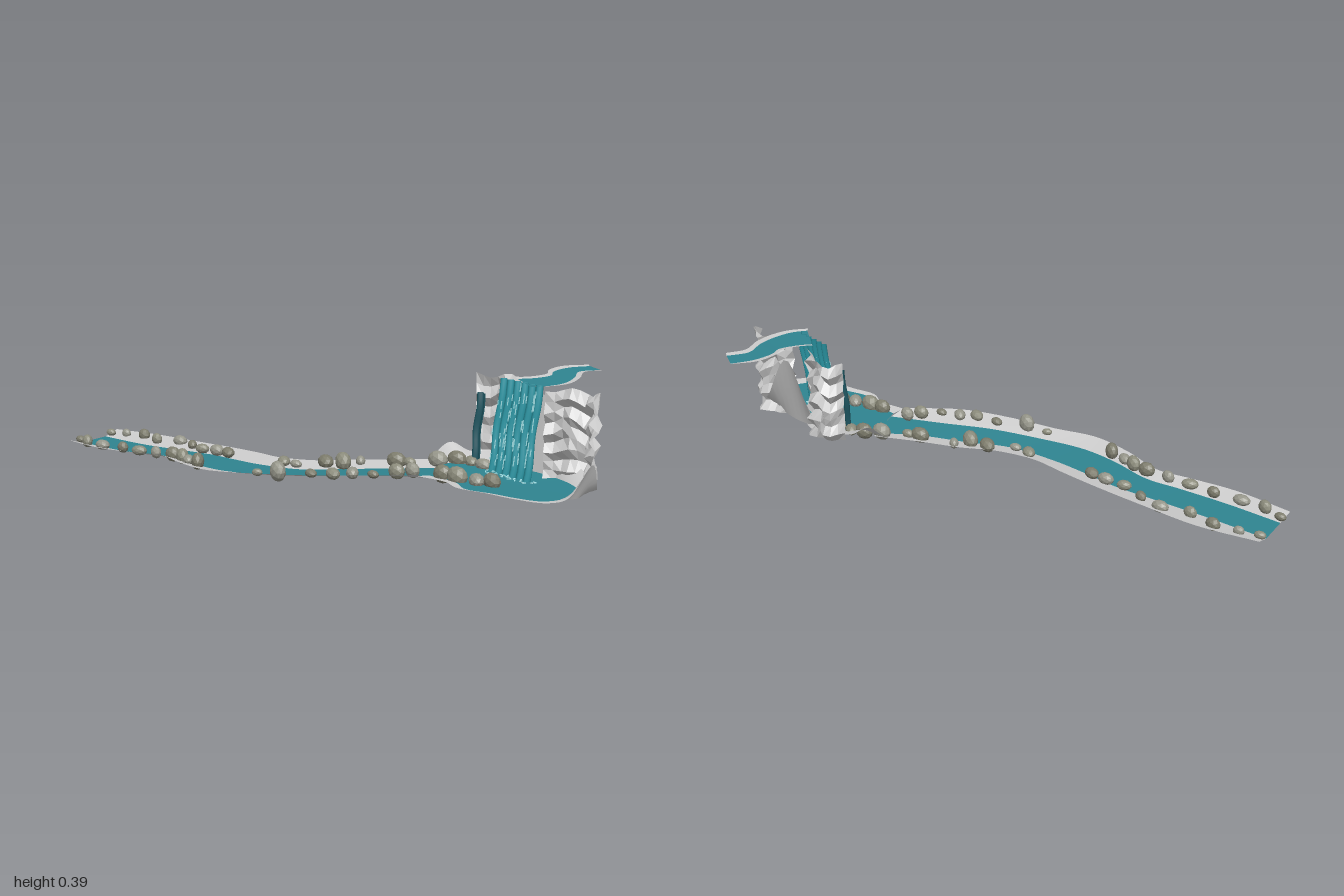
import * as THREE from 'three';

const { lerp, smoothstep } = THREE.MathUtils;
const paint = (color, flat = false) => new THREE.MeshStandardMaterial({ color, flatShading: flat, side: THREE.DoubleSide });
const stone = paint(0xcccccc), crag = paint(0xcccccc, true), water = paint(0x2f8490);
const fallWater = paint(0x2a96a4), darkWater = paint(0x1d5560), foamMat = paint(0xa5e6ec);
const rockMats = [0x8c8c7c, 0x96968a, 0x7d7c6c].map(c => paint(c, true));

let seed = 7;
const rand = () => (seed = (seed * 16807) % 2147483647) / 2147483647;

// Height of the stream bed along x
const bed = x => 0.012 + 0.03 * smoothstep(x, -1, 0.1) + 0.033 * smoothstep(x, -0.1, 0.45);

// Smooth curve through [x, z] or [x, z, y] points
const curve = (pts, height) => new THREE.CatmullRomCurve3(
  pts.map(([x, z, y]) => new THREE.Vector3(x, y ?? height(x), z)), false, 'centripetal');

// Grid surface from a function (u, v) -> Vector3
function surface(nu, nv, at) {
  const pos = [], index = [];
  for (let i = 0; i <= nu; i++) for (let j = 0; j <= nv; j++) pos.push(...at(i / nu, j / nv).toArray());
  for (let i = 0; i < nu; i++) for (let j = 0; j < nv; j++) {
    const a = i * (nv + 1) + j, b = a + nv + 1;
    index.push(a, a + 1, b, b, a + 1, b + 1);
  }
  const g = new THREE.BufferGeometry();
  g.setAttribute('position', new THREE.Float32BufferAttribute(pos, 3));
  g.setIndex(index);
  g.computeVertexNormals();
  return g;
}
const between = (a, b, n) => surface(n, 2, (u, v) => a.getPoint(u).lerp(b.getPoint(u), v));

function add(parent, name, geometry, material) {
  const m = new THREE.Mesh(geometry, material);
  m.name = name;
  parent.add(m);
  return m;
}

// Stream made of a water strip and two banks, from four matching edges
function stream(parent, name, edges, n) {
  const g = new THREE.Group();
  g.name = name;
  add(g, 'farBank', between(edges[0], edges[1], n), stone);
  add(g, 'streamWater', between(edges[1], edges[2], n), water);
  add(g, 'nearBank', between(edges[2], edges[3], n), stone);
  parent.add(g);
}

// Falling sheet with ripples and pale streaks
function fall(parent, name, x0, x1, top, zTop, zBottom, mat, streaks) {
  const g = new THREE.Group();
  g.name = name;
  const at = (u, v) => new THREE.Vector3(lerp(x0, x1, u) + 0.004 * Math.sin(v * 9),
    lerp(top, 0.078, v), lerp(zTop, zBottom, v) + 0.006 * Math.sin(u * (x1 - x0) * 190));
  add(g, 'sheet', surface(36, 12, at), mat);
  for (let i = 0; i < streaks; i++) {
    const u = 0.04 + rand() * 0.92, v = rand() * 0.85, p = at(u, v + 0.05);
    const s = add(g, 'streak', new THREE.BoxGeometry(0.003, 0.015 + rand() * 0.02, 0.002), foamMat);
    s.position.copy(p).add(new THREE.Vector3(0, 0, 0.003));
    s.rotation.x = -Math.atan2(zBottom - zTop, top - 0.078);
  }
  parent.add(g);
}

// Craggy wall following a plan curve, with stepped bulges
function cliff(parent, name, pts, phase) {
  const path = curve(pts, () => 0);
  add(parent, name, surface(10, 9, (u, v) => {
    const p = path.getPoint(u), t = path.getTangent(u);
    const bulge = 0.016 * Math.sin(v * 24 + 1.6 * Math.sin(u * 5 + phase)) + 0.009 * Math.sin(u * 17 + phase);
    p.x -= t.z * bulge;
    p.z += t.x * bulge;
    p.y = 0.07 + v * (0.295 + 0.022 * Math.cos(u * 12 + phase)) + 0.012 * Math.sin(u * 11 + v * 5 + phase) * v;
    return p;
  }), crag);
}

export function createModel() {
  const model = new THREE.Group();
  model.name = 'waterfallAndRiver';

  // Lower river
  const bankY = x => bed(x) + 0.008, waterY = x => bed(x) - 0.01;
  stream(model, 'river', [
    curve([[-1, .37], [-.8, .29], [-.61, .25], [-.4, .21], [-.26, .19], [-.13, .175], [0, .11], [.09, .02], [.22, -.09], [.33, -.19]], bankY),
    curve([[-.98, .43], [-.76, .385], [-.58, .335], [-.42, .29], [-.3, .275], [-.15, .25], [.02, .19], [.14, .08], [.26, -.02], [.38, -.15]], waterY),
    curve([[-.94, .55], [-.74, .51], [-.57, .46], [-.45, .42], [-.29, .42], [-.15, .40], [.02, .32], [.17, .22], [.29, .11], [.46, -.02]], waterY),
    curve([[-.93, .61], [-.72, .58], [-.56, .52], [-.45, .475], [-.29, .49], [-.13, .48], [.01, .405], [.17, .32], [.32, .21], [.46, .04]], bankY),
  ], 60);

  // Plunge pool and its rim, peaked at the sides and back
  const inner = [[.36, -.16], [.4, -.2], [.46, -.24], [.5, -.28], [.62, -.32], [.78, -.31], [.88, -.27], [.93, -.23],
    [.95, -.19], [.93, -.13], [.91, -.08], [.84, -.045], [.75, -.02], [.66, .01], [.58, -.02], [.46, -.01]];
  const outer = [[.28, -.17, .08], [.31, -.23, .13], [.36, -.28, .1], [.46, -.35, .13], [.62, -.365, .33], [.79, -.355, .13], [.91, -.31, .09],
    [.97, -.255, .1], [1, -.2, .19], [.97, -.135, .09], [.95, -.07, .08], [.86, -.02, .08], [.75, .005, .08], [.65, .035, .08], [.57, .015, .08], [.46, .04, .08]];
  const rim = curve(inner, () => 0.075);
  add(model, 'poolBank', between(rim, curve(outer), 80), stone);
  const centre = new THREE.Vector3(.66, .073, -.15);
  add(model, 'poolWater', surface(80, 1, (u, v) => rim.getPoint(u).lerp(centre, v)), water);
  add(model, 'poolMouth', surface(1, 1, (u, v) => rim.getPoint(u).lerp(centre, v)), water);

  // Cliffs either side of the fall
  cliff(model, 'leftCliff', [[.37, -.29], [.41, -.335], [.47, -.35], [.53, -.32], [.58, -.29]], 0.6);
  cliff(model, 'rightCliff', [[.7, -.29], [.76, -.33], [.82, -.35], [.87, -.335], [.91, -.3]], 2.4);

  // Upper stream feeding the fall
  const lift = base => pts => curve(pts.map(([x, z]) => [x, z, base + 0.008 * smoothstep(-z, .35, .5)]));
  const bankEdge = lift(0.386), wetEdge = lift(0.383);
  stream(model, 'upperStream', [
    bankEdge([[.57, -.62], [.535, -.535], [.553, -.45], [.59, -.4], [.58, -.32], [.56, -.29]]),
    wetEdge([[.58, -.615], [.56, -.535], [.575, -.45], [.61, -.4], [.6, -.32], [.58, -.28]]),
    wetEdge([[.655, -.588], [.635, -.51], [.69, -.43], [.725, -.35], [.73, -.27], [.71, -.215]]),
    bankEdge([[.675, -.58], [.66, -.51], [.715, -.43], [.75, -.35], [.75, -.27], [.72, -.205]]),
  ], 24);

  // Falls
  fall(model, 'mainFall', .535, .735, .385, -.247, -.2, fallWater, 60);
  fall(model, 'sideFall', .42, .465, .32, -.25, -.225, darkWater, 0);

  // Foam flecks where the fall lands
  for (let i = 0; i < 36; i++) {
    const f = add(model, 'foam', new THREE.BoxGeometry(0.01, 0.003, 0.004), foamMat);
    f.position.set(.53 + rand() * .22, .08, -.21 + rand() * .04);
    f.rotation.y = rand() * 3;
  }

  // Boulders along both banks
  const spots = [
    [-.97, .41], [-.91, .375], [-.83, .34], [-.73, .34], [-.64, .29], [-.55, .29], [-.46, .3], [-.39, .28], [-.33, .27],
    [-.075, .2], [-.015, .19], [.05, .11], [.11, .08], [.13, .02], [.24, -.05], [.28, -.075], [.34, -.15], [.38, -.2], [.425, -.225], [.485, -.225],
    [-.93, .56], [-.86, .565], [-.775, .545], [-.68, .51], [-.59, .49], [-.51, .465], [-.43, .44], [-.37, .435], [-.32, .44], [-.255, .44],
    [.01, .365], [.09, .335], [.175, .26], [.25, .225], [.29, .175], [.35, .135], [.385, .065], [.405, .015],
    [.51, -.025], [.565, -.04], [.63, -.065], [.675, -.09]];
  spots.forEach(([x, z], i) => {
    const r = add(model, 'boulder', new THREE.IcosahedronGeometry(1, 1), rockMats[i % 3]);
    const big = (x > 0.03 ? 1.2 : 1) * (0.7 + 0.6 * rand());
    r.scale.set(0.026 * big, (0.015 + 0.01 * rand()) * big, 0.018 * big);
    r.rotation.y = rand() * 1.2 - 0.6;
    r.position.set(x, Math.max(bed(x) + 0.4 * r.scale.y, r.scale.y), z);
  });
  return model;
}
